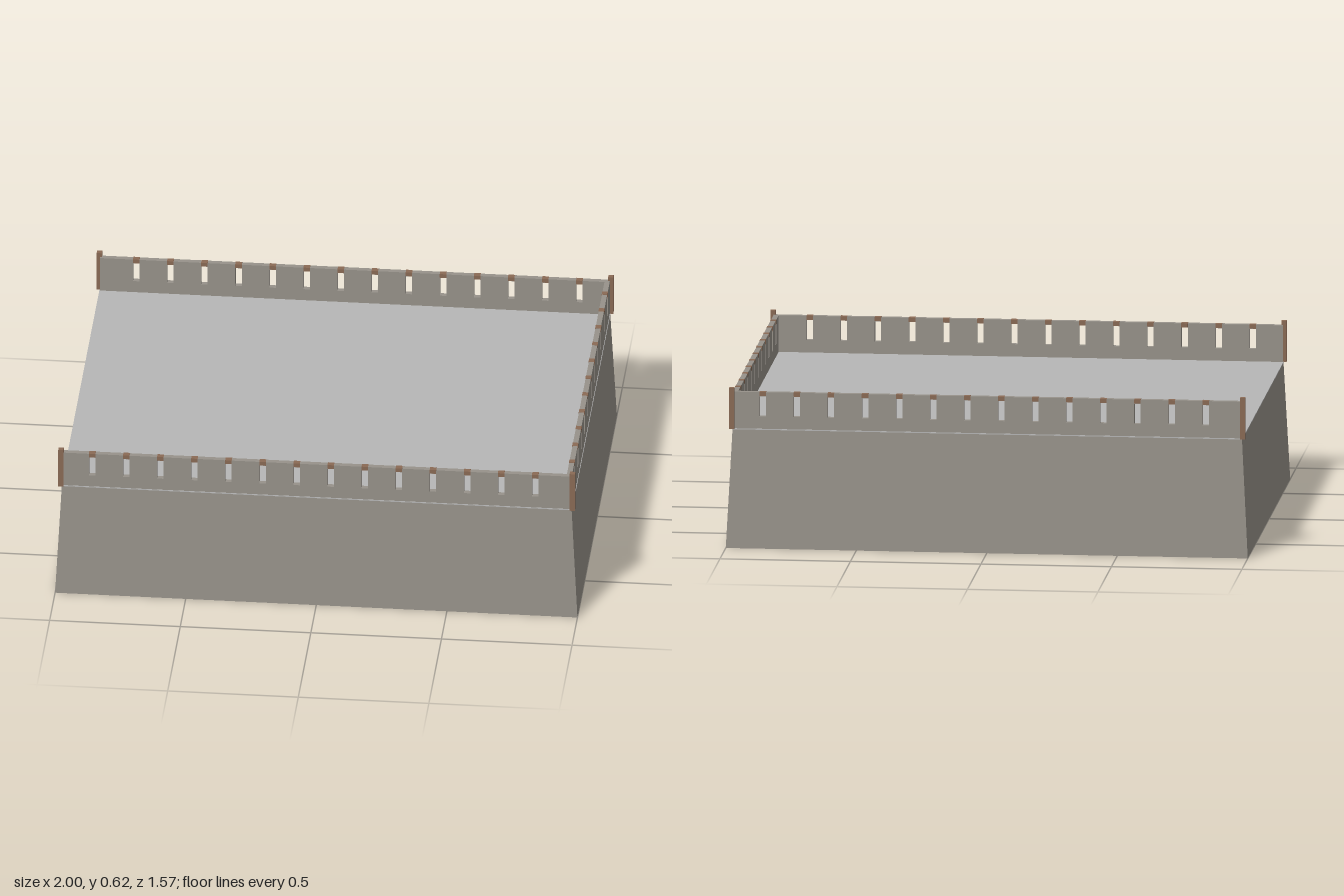
import * as THREE from 'three';

const stone = new THREE.MeshStandardMaterial({ color: 0x97928a, side: THREE.DoubleSide });
stone.name = 'stone';
const paving = new THREE.MeshStandardMaterial({ color: 0xb6b6b6 });
paving.name = 'paving grey';
const wood = new THREE.MeshStandardMaterial({ color: 0x8a6a55 });
wood.name = 'brown wood';

const DECK = 0.46, TOP = 0.604, THICK = 0.02;
const SLIT = { width: 0.025, bottom: 0.51, top: 0.588, step: 0.1305 };

function add(parent, name, geometry, material, x = 0, y = 0, z = 0) {
  const mesh = new THREE.Mesh(geometry, material);
  mesh.name = name;
  mesh.position.set(x, y, z);
  parent.add(mesh);
  return mesh;
}

// Parapet with a row of slits and a wooden lintel over each one; its outer face is at z = distance
function parapet(name, half, distance, first, count, turn) {
  const group = new THREE.Group();
  group.name = name;
  const w = SLIT.width / 2;
  const outline = new THREE.Shape([
    new THREE.Vector2(-half, DECK), new THREE.Vector2(half, DECK),
    new THREE.Vector2(half, TOP), new THREE.Vector2(-half, TOP),
  ]);
  const lintel = new THREE.BoxGeometry(SLIT.width, TOP - SLIT.top, THICK + 0.002);
  for (let i = 0; i < count; i++) {
    const x = first + i * SLIT.step;
    outline.holes.push(new THREE.Path([
      new THREE.Vector2(x - w, SLIT.bottom), new THREE.Vector2(x - w, SLIT.top),
      new THREE.Vector2(x + w, SLIT.top), new THREE.Vector2(x + w, SLIT.bottom),
    ]));
    add(group, 'lintel', lintel, wood, x, (SLIT.top + TOP) / 2 + 0.001, distance - THICK / 2);
  }
  const wall = new THREE.ExtrudeGeometry(outline, { depth: THICK, bevelEnabled: false });
  add(group, 'parapetWall', wall, stone, 0, 0, distance - THICK);
  group.rotation.y = turn;
  return group;
}

export function createModel() {
  const model = new THREE.Group();
  model.name = 'walledPlatform';

  // Tapered outer walls, open underneath
  const shell = new THREE.CylinderGeometry(0.976 * Math.SQRT2, Math.SQRT2, DECK, 4, 1, true)
    .rotateY(Math.PI / 4).scale(1, 1, 0.785).toNonIndexed();
  shell.computeVertexNormals();
  add(model, 'baseWalls', shell, stone, 0, DECK / 2, 0);

  // Thin deck closing the top
  add(model, 'deck', new THREE.BoxGeometry(1.956, 0.004, 1.534), paving, 0, DECK, 0);

  // Parapets on three sides; the left side stays open
  model.add(parapet('frontParapet', 0.976, 0.765, -0.86, 14, 0));
  model.add(parapet('backParapet', 0.976, 0.765, -0.86, 14, Math.PI));
  model.add(parapet('rightParapet', 0.745, 0.976, -0.646, 11, Math.PI / 2));

  // Corner posts
  const post = new THREE.BoxGeometry(0.02, 0.16, 0.02);
  for (const x of [-0.979, 0.979])
    for (const z of [-0.764, 0.764]) add(model, 'cornerPost', post, wood, x, 0.54, z);

  return model;
}
